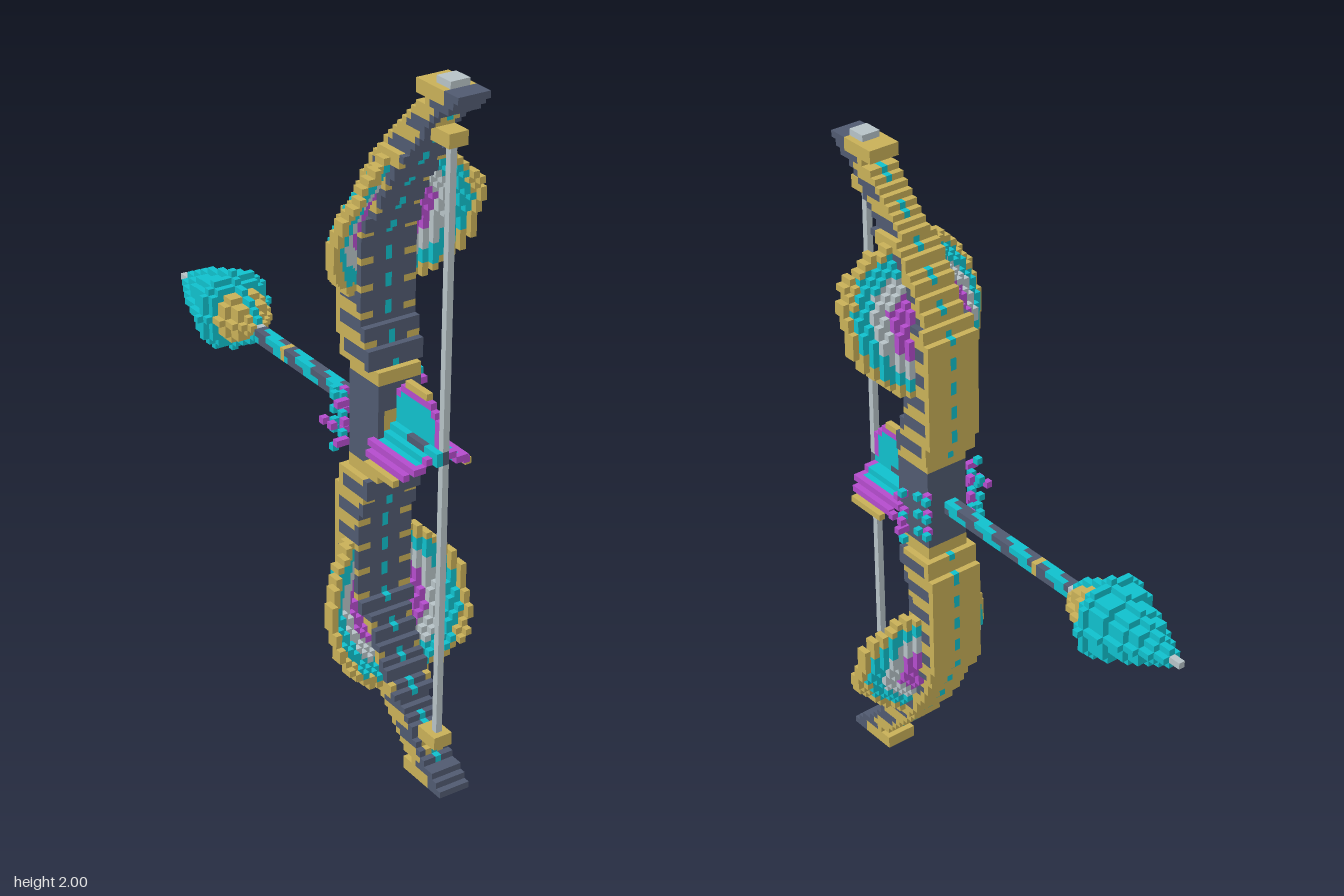
import * as THREE from 'three';

const U = 2 / 107; // edge length of one cube; cell (0,0,0) sits at y = 1

const COLORS = { gold: 0xc8b058, slate: 0x505a70, teal: 0x10c0cc, silver: 0xb6c2c6, purple: 0xb44ccc };

// Linear interpolation through [x, value] pairs
function ramp(pairs, x) {
  for (let n = 1; n < pairs.length; n++) {
    const [x0, a] = pairs[n - 1], [x1, b] = pairs[n];
    if (x <= x1) return a + (b - a) * Math.max(0, (x - x0) / (x1 - x0));
  }
  return pairs[pairs.length - 1][1];
}

const mod = (a, n) => ((a % n) + n) % n;
const LIMB_BACK = [[9, 14], [14, 13], [28, 13], [32, 15], [37, 18], [40, 20], [43, 22], [48, 27], [52, 32]];
const LIMB_DEPTH = [[9, 6], [20, 5], [43, 5], [48, 4], [52, 4]];

export function createModel() {
  const cells = new Map();
  const key = (i, j, k) => `${i},${j},${k}`;
  let part = '';
  const put = (i, j, k, color) => {
    if (!cells.has(key(i, j, k))) cells.set(key(i, j, k), { p: [i, j, k], part, color });
  };
  const fill = (i0, i1, j0, j1, k0, k1, color) => {
    for (let i = i0; i <= i1; i++)
      for (let j = j0; j <= j1; j++)
        for (let k = k0; k <= k1; k++)
          put(i, j, k, typeof color === 'function' ? color(i, j, k) : color);
  };

  // Fletching: one upright fin and two sloping ones
  part = 'fletching';
  const finHalf = [5, 5, 5, 5, 4, 3, 2];
  finHalf.forEach((half, n) => {
    const t = n + 1;
    for (let k = 26 - half; k <= 26 + half; k++) {
      const rim = Math.abs(k - 26) >= half;
      put(0, t, k, t > 6 ? 'gold' : rim || t > 5 ? 'purple' : 'teal');
      if (t < 7) for (const s of [-1, 1])
        put(s * t, -Math.round(t * 0.6), k, t > 5 ? 'gold' : rim || t > 3 ? 'purple' : 'teal');
    }
  });

  // Shaft with a two-colour spiral
  part = 'arrowShaft';
  fill(-1, 0, -1, 0, -13, 32, (i, j, k) => {
    if (k === -6) return 'gold';
    const q = i < 0 ? (j < 0 ? 0 : 1) : (j < 0 ? 3 : 2);
    return mod(q + Math.floor(k / 2), 4) < 2 ? 'teal' : 'slate';
  });

  // Arrowhead: stacked round slices
  part = 'arrowhead';
  put(0, 0, -14, 'silver');
  [1, 2, 3, 3, 4, 4, 5, 6, 5, 5, 5, 4, 4, 4, 3, 3, 2, 2, 1, 1].forEach((r, n) => {
    fill(-r, r, -r, r, 0, -1, 'gold');
    for (let i = -r; i <= r; i++)
      for (let j = -r; j <= r; j++)
        if (i * i + j * j <= r * r + 0.5) put(i, j, -15 - n, n < 6 && i !== 0 ? 'gold' : 'teal');
  });
  fill(0, 0, 0, 0, -36, -35, 'silver');

  // Grip with gold collars
  part = 'grip';
  fill(-3, 3, -8, 8, 15, 21, (i, j, k) => {
    if (Math.abs(j) > 6) return 'gold';
    return k === 21 && Math.abs(i) < 3 && Math.abs(j) < 3 ? 'gold' : 'slate';
  });

  // Curling sparks on both sides of the grip
  part = 'sparks';
  for (const s of [-1, 1])
    for (const j of [-3, 0, 3]) {
      const reach = j === 0 ? 8 : 7;
      for (let i = 4; i <= reach; i++)
        put(s * i, j + (j && i > 5 ? Math.sign(j) * (i % 2) : 0), i < 6 ? 10 + i : 23 - i, i % 2 ? 'teal' : 'purple');
      put(s * reach, j, 17, 'purple');
      put(s * 5, j, 13, 'teal');
    }

  for (const m of [-1, 1]) {
    const side = m > 0 ? 'upper' : 'lower';

    // Limb: gold back, slate front, striped sides and a dashed centre line
    part = side + 'Limb';
    for (let j = 9; j <= 52; j++) {
      const kb = Math.round(ramp(LIMB_BACK, j));
      const kf = kb + Math.round(ramp(LIMB_DEPTH, j));
      const hw = j <= 30 ? 4 : j <= 41 ? 3 : 2;
      const dash = j % 4 < 2;
      fill(-hw, hw, m * j, m * j, kb, kf, (i, _, k) => {
        const a = Math.abs(i);
        if (j >= 51) return k > 33 ? 'slate' : 'gold';
        if (a === 0 && dash) return 'teal';
        if (j >= 46 && j <= 48 && a < 2 && k > kb + 1) return 'gold';
        if (k === kb) return 'gold';
        if (k === kf) return a >= 3 && j % 4 === 0 ? 'gold' : 'slate';
        if (a === hw) return dash ? 'gold' : 'slate';
        return k < (kb + kf) / 2 ? 'gold' : 'slate';
      });
    }

    // Limb tip
    part = side + 'Tip';
    fill(-1, 1, m * 53, m * 53, 31, 33, 'silver');
    for (const j of [51, 52]) fill(-2, 2, m * j, m * j, 28, 31, 'gold');

    // Nock block holding the string
    part = side + 'Nock';
    for (const j of [45, 46]) fill(-1, 1, m * j, m * j, 29, 33, 'gold');

    // Rounded wings, ringed in colour and swept toward the string
    part = side + 'Wings';
    for (const s of [-1, 1])
      for (let j = 18; j <= 41; j++)
        for (let i = 2; i <= 11; i++) {
          const r = Math.hypot(i, j - 29.5);
          if (r > 11.6) continue;
          const color = r > 10.4 ? 'gold' : r > 8.4 ? 'teal' : r > 6.5 ? 'silver' : 'purple';
          const k = Math.round(ramp(LIMB_BACK, j) + 2.6 + 0.75 * Math.max(0, i - 3));
          for (const d of [-1, 0]) put(s * i, m * j, k + d, color);
        }
  }

  // Bowstring
  part = 'bowstring';
  fill(0, 0, -44, 44, 32, 32, 'silver');

  // Gather the exposed cube faces of each part and colour
  const bins = {};
  for (const { p, part: name, color } of cells.values()) {
    const out = ((bins[name] ??= {})[color] ??= { pos: [], nor: [] });
    for (let a = 0; a < 3; a++)
      for (const s of [-1, 1]) {
        const near = [...p];
        near[a] += s;
        if (cells.has(key(...near))) continue;
        const n = [0, 0, 0];
        n[a] = s;
        const quad = [[-1, -1], [1, -1], [1, 1], [-1, 1]].map(([u, v]) => {
          const c = [...p];
          c[a] += s / 2;
          c[(a + 1) % 3] += u / 2;
          c[(a + 2) % 3] += v / 2;
          return [c[0] * U, 1 + c[1] * U, c[2] * U];
        });
        if (s < 0) quad.reverse();
        for (const q of [0, 1, 2, 0, 2, 3]) {
          out.pos.push(...quad[q]);
          out.nor.push(...n);
        }
      }
  }

  const materials = {};
  for (const [name, hex] of Object.entries(COLORS)) {
    materials[name] = new THREE.MeshStandardMaterial({ color: hex });
    materials[name].name = name;
  }

  const model = new THREE.Group();
  model.name = 'bowAndArrow';
  for (const [name, byColor] of Object.entries(bins)) {
    const group = new THREE.Group();
    group.name = name;
    for (const [color, { pos, nor }] of Object.entries(byColor)) {
      const geo = new THREE.BufferGeometry();
      geo.setAttribute('position', new THREE.Float32BufferAttribute(pos, 3));
      geo.setAttribute('normal', new THREE.Float32BufferAttribute(nor, 3));
      const mesh = new THREE.Mesh(geo, materials[color]);
      mesh.name = `${name} ${color}`;
      group.add(mesh);
    }
    model.add(group);
  }
  return model;
}
